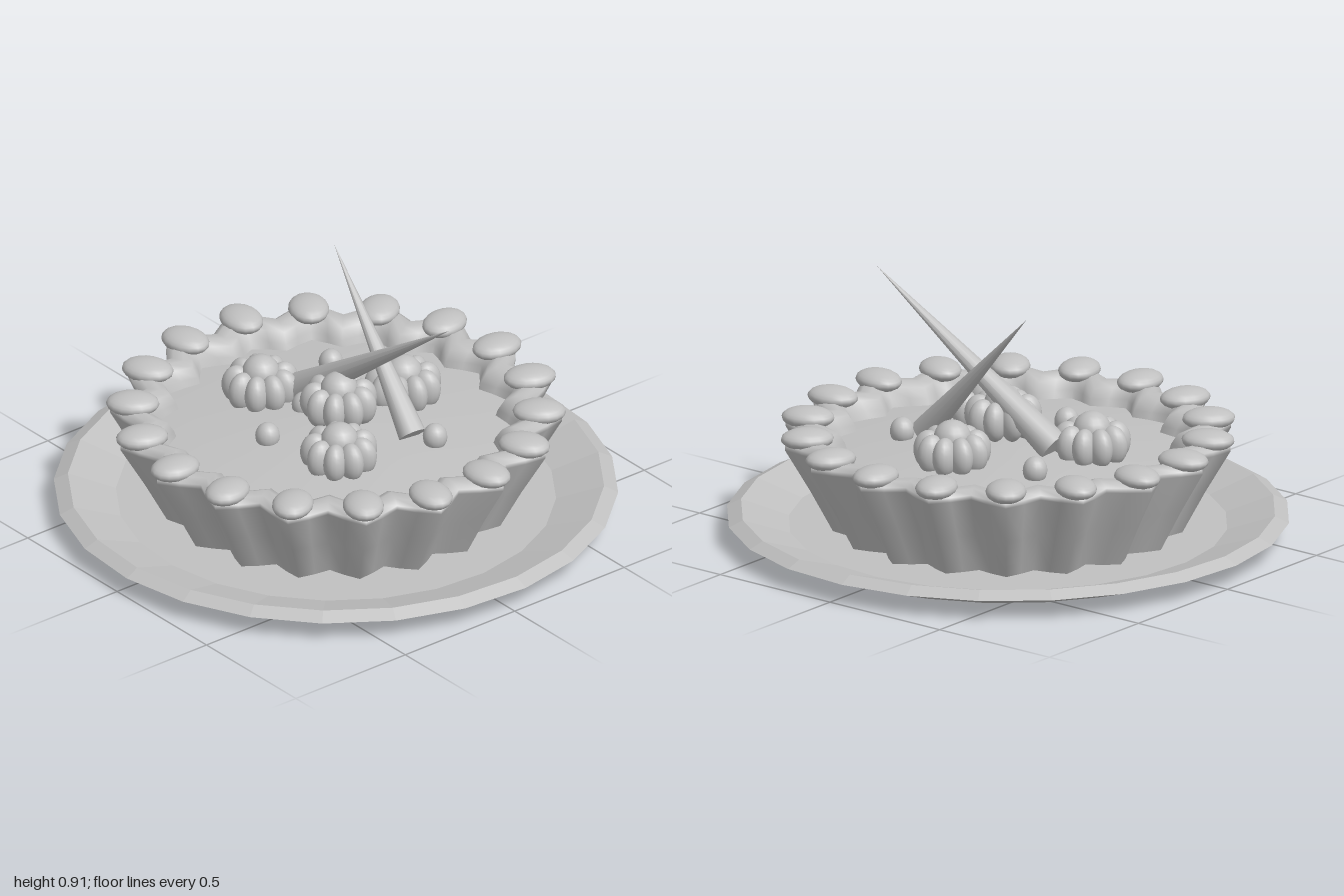
import * as THREE from 'three';
import { mergeVertices } from 'three/addons/utils/BufferGeometryUtils.js';

const DEG = Math.PI / 180;
const LOBES = 18;

export function createModel() {
  const root = new THREE.Group();
  root.name = 'tartOnPlate';
  const clay = new THREE.MeshStandardMaterial({ color: 0xc0c0c0 });
  clay.name = 'plain grey';

  const add = (parent, geometry, name, pos = [0, 0, 0], scale = [1, 1, 1]) => {
    const mesh = new THREE.Mesh(geometry, clay);
    mesh.name = name;
    mesh.position.set(...pos);
    mesh.scale.set(...scale);
    parent.add(mesh);
    return mesh;
  };
  const lathe = (profile, sides) =>
    new THREE.LatheGeometry(profile.map(([r, y]) => new THREE.Vector2(r, y)), sides);

  // Faceted plate with a bevelled rim
  const plateGeo = lathe([[0, 0], [0.79, 0], [1, 0.075], [0.95, 0.1], [0.78, 0.045], [0, 0.045]], 24).toNonIndexed();
  plateGeo.computeVertexNormals();
  add(root, plateGeo, 'plate').rotation.y = 3 * DEG;

  // Fluted crust: a lathe whose radius ripples with the lobes
  const crust = new THREE.Group();
  crust.name = 'crust';
  crust.rotation.y = -1.5 * DEG;
  root.add(crust);
  let shell = lathe([
    [0.59, 0.04], [0.67, 0.2], [0.755, 0.355], [0.755, 0.372],
    [0.725, 0.388], [0.68, 0.39], [0.64, 0.375], [0.615, 0.34], [0.59, 0.27],
  ], LOBES * 4);
  const p = shell.attributes.position;
  for (let i = 0; i < p.count; i++) {
    const angle = Math.atan2(p.getX(i), p.getZ(i));
    const k = 1 + 0.06 * Math.cos(LOBES * angle);
    p.setX(i, p.getX(i) * k);
    p.setZ(i, p.getZ(i) * k);
  }
  shell.deleteAttribute('normal');
  shell.deleteAttribute('uv');
  shell = mergeVertices(shell, 1e-4);
  shell.computeVertexNormals();
  add(crust, shell, 'flutedShell');

  // Flattened beads, one on each flute
  const ball = new THREE.SphereGeometry(1, 16, 12);
  for (let i = 0; i < LOBES; i++) {
    const a = (i * 2 * Math.PI) / LOBES;
    const bead = add(crust, ball, 'rimBead',
      [0.72 * Math.sin(a), 0.394, 0.72 * Math.cos(a)], [0.073, 0.038, 0.095]);
    bead.rotation.y = a;
  }

  // Gently domed filling
  add(root, lathe([[0.64, 0.31], [0.5, 0.325], [0.3, 0.34], [0.12, 0.352], [0, 0.355]], 48), 'filling');

  // Cream dollops: a ring of lobes around a round top
  const dollops = [[0.01, 0, -0.3], [-0.31, 0, 0.09], [0.24, -0.005, 0.18], [0.03, 0.05, 0.01]];
  for (const pos of dollops) {
    const dollop = new THREE.Group();
    dollop.name = 'creamDollop';
    dollop.position.set(...pos);
    root.add(dollop);
    for (let i = 0; i < 9; i++) {
      const a = (i * 2 * Math.PI) / 9;
      const lobe = add(dollop, ball, 'creamLobe',
        [0.085 * Math.sin(a), 0.385, 0.085 * Math.cos(a)], [0.042, 0.072, 0.055]);
      lobe.rotation.y = a;
    }
    add(dollop, ball, 'creamTop', [0, 0.432, 0], [0.068, 0.066, 0.068]);
  }

  // Small berries
  for (const [x, z] of [[-0.31, -0.23], [0.34, -0.175], [-0.04, 0.28], [-0.13, 0.04]]) {
    add(root, ball, 'berry', [x, 0.36, z], [0.044, 0.05, 0.044]);
  }

  // Two slender crossed spikes
  const spike = (base, tip, radius) => {
    const a = new THREE.Vector3(...base);
    const axis = new THREE.Vector3(...tip).sub(a);
    const geo = new THREE.ConeGeometry(radius, axis.length(), 12);
    geo.translate(0, axis.length() / 2, 0);
    add(root, geo, 'spike', base).quaternion.setFromUnitVectors(
      new THREE.Vector3(0, 1, 0), axis.normalize());
  };
  spike([-0.22, 0.37, -0.01], [0.54, 0.91, -0.075], 0.06);
  spike([0.28, 0.36, -0.12], [-0.23, 0.89, -0.18], 0.05);

  return root;
}
